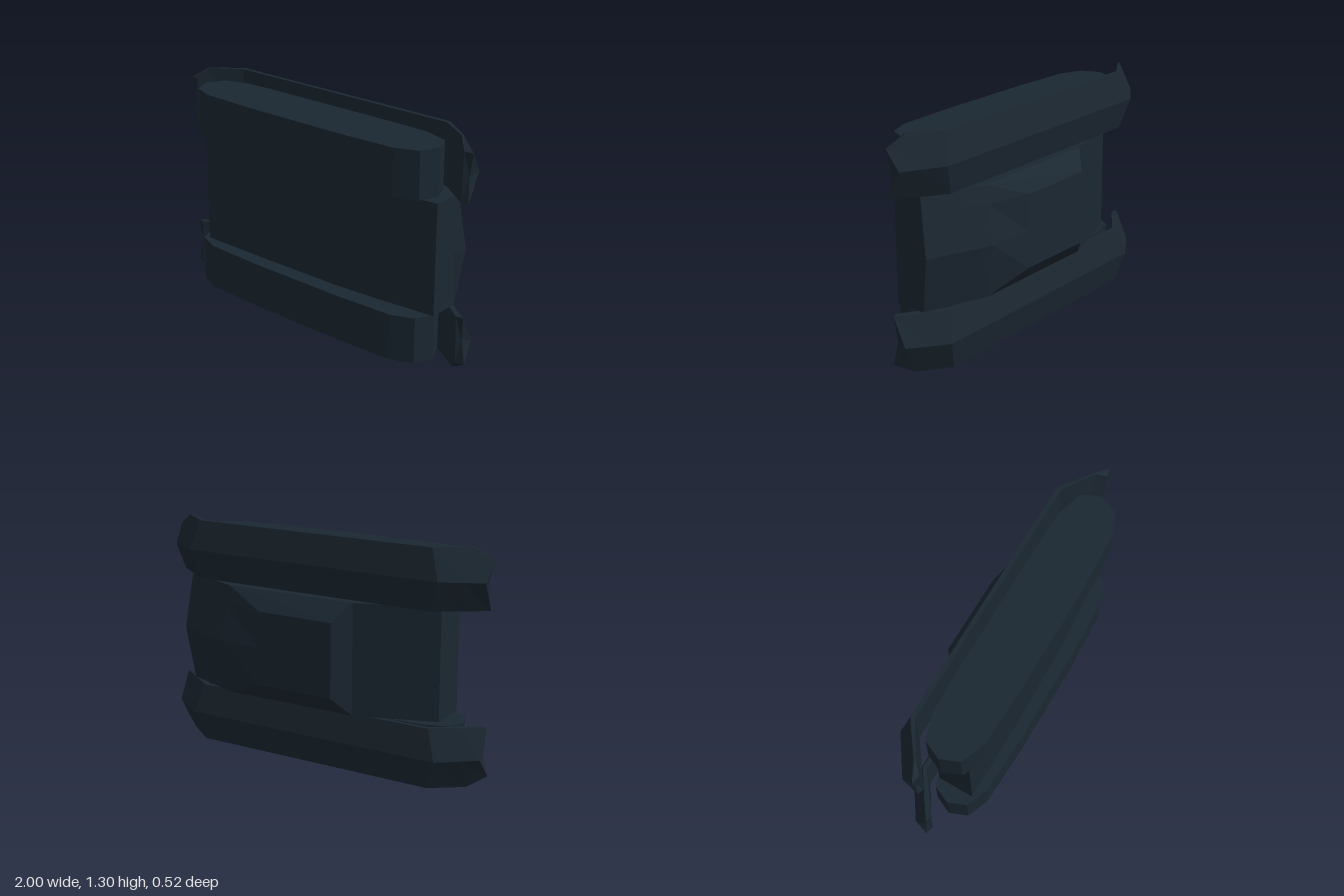
import * as THREE from 'three';

const MID = 0.65; // middle of the vehicle's width, along y

// Faceted solid through matching cross-sections, ordered along +x, each a loop of [x, y, z]
function loft(sections) {
  const pos = [];
  const tri = (...pts) => pts.forEach(p => pos.push(...p));
  const n = sections[0].length;
  for (let i = 0; i < sections.length - 1; i++) {
    const s = sections[i], t = sections[i + 1];
    for (let j = 0; j < n; j++) {
      const k = (j + 1) % n;
      tri(s[j], s[k], t[k]);
      tri(s[j], t[k], t[j]);
    }
  }
  // end caps
  const first = sections[0], last = sections[sections.length - 1];
  const centre = s => [0, 1, 2].map(a => s.reduce((sum, p) => sum + p[a], 0) / n);
  for (let j = 0; j < n; j++) {
    const k = (j + 1) % n;
    tri(first[k], first[j], centre(first));
    tri(last[j], last[k], centre(last));
  }
  const g = new THREE.BufferGeometry();
  g.setAttribute('position', new THREE.Float32BufferAttribute(pos, 3));
  g.computeVertexNormals();
  return g;
}

// Hull section: low edge, shoulder, roof edge, roof middle, then mirrored across the width
function hullSection([xLow, zLow], [xSide, zSide], [xRoof, zRoof], [xMid, zMid]) {
  const half = [
    [xLow, 0.337, zLow],
    [xSide, 0.337, zSide],
    [xRoof, 0.44, zRoof],
  ];
  const other = half.map(([x, y, z]) => [x, 2 * MID - y, z]).reverse();
  return [...half, [xMid, MID, zMid], ...other];
}

function hullGeometry() {
  const straight = (x, low, top) => hullSection([x, low], [x, top], [x, top], [x, top]);
  return loft([
    straight(-0.735, 0.193, -0.02),
    straight(-0.29, 0.193, -0.175),
    // the raised roof's side slopes run from the rear deck corner to the front one
    hullSection([-0.205, 0.192], [-0.29, -0.175], [-0.205, -0.259], [-0.205, -0.259]),
    hullSection([0.255, 0.185], [0.51, -0.178], [0.255, -0.257], [0.255, -0.257]),
    hullSection([0.53, 0.164], [0.51, -0.178], [0.517, -0.197], [0.53, -0.235]),
    hullSection([0.86, 0.13], [0.86, -0.05], [0.868, -0.067], [0.885, -0.1]),
  ]);
}

// Bent mudguard with a shallow ridge and clipped, tapering outer corners
function fenderGeometry(upper) {
  // loop: outer bottom, outer top, ridge, inner top, inner bottom
  const half = [
    [[0.725, 0, -0.11], [0.73, 0, -0.135], [0.785, 0.167, -0.173], [0.73, 0.334, -0.135], [0.725, 0.334, -0.11]],
    [[0.9, 0, 0.003], [0.9, 0, -0.01], [0.9, 0.171, -0.095], [0.87, 0.334, -0.04], [0.87, 0.334, -0.005]],
    [[0.95, 0.06, 0.049], [1.0, 0.065, 0.037], [0.988, 0.175, -0.035], [0.985, 0.334, 0.042], [0.945, 0.334, 0.05]],
  ];
  const rear = half.map(s => s.map(([x, y, z]) => [-x, y, z])).reverse();
  let sections = [...rear, ...half];
  if (upper) {
    sections = sections.map(s => s.map(([x, y, z]) => [x, 2 * MID - y, z]).reverse());
  }
  return loft(sections);
}

// Track outline with faceted ends, extruded across the track's width
function trackGeometry() {
  const side = [
    [0.3, 0.257], [0.66, 0.242], [0.788, 0.19], [0.832, 0.085],
    [0.785, -0.018], [0.65, -0.061], [0.5, -0.07],
  ];
  const outline = [...side, ...side.map(([x, z]) => [-x, z]).reverse()];
  const shape = new THREE.Shape(outline.map(([x, z]) => new THREE.Vector2(x, z)));
  const g = new THREE.ExtrudeGeometry(shape, { depth: 0.263, bevelEnabled: false });
  g.rotateX(Math.PI / 2); // extrusion now runs towards -y
  return g;
}

export function createModel() {
  const model = new THREE.Group();
  model.name = 'trackedHull';
  const slate = new THREE.MeshStandardMaterial({ color: 0x1b2731 });
  slate.name = 'darkSlate';

  const add = (name, geometry, y = 0) => {
    const mesh = new THREE.Mesh(geometry, slate);
    mesh.name = name;
    mesh.position.y = y;
    model.add(mesh);
  };

  add('hull', hullGeometry());

  const track = trackGeometry();
  add('lowerTrack', track, 0.321);
  add('upperTrack', track, 1.242);

  add('lowerFender', fenderGeometry(false));
  add('upperFender', fenderGeometry(true));

  return model;
}
